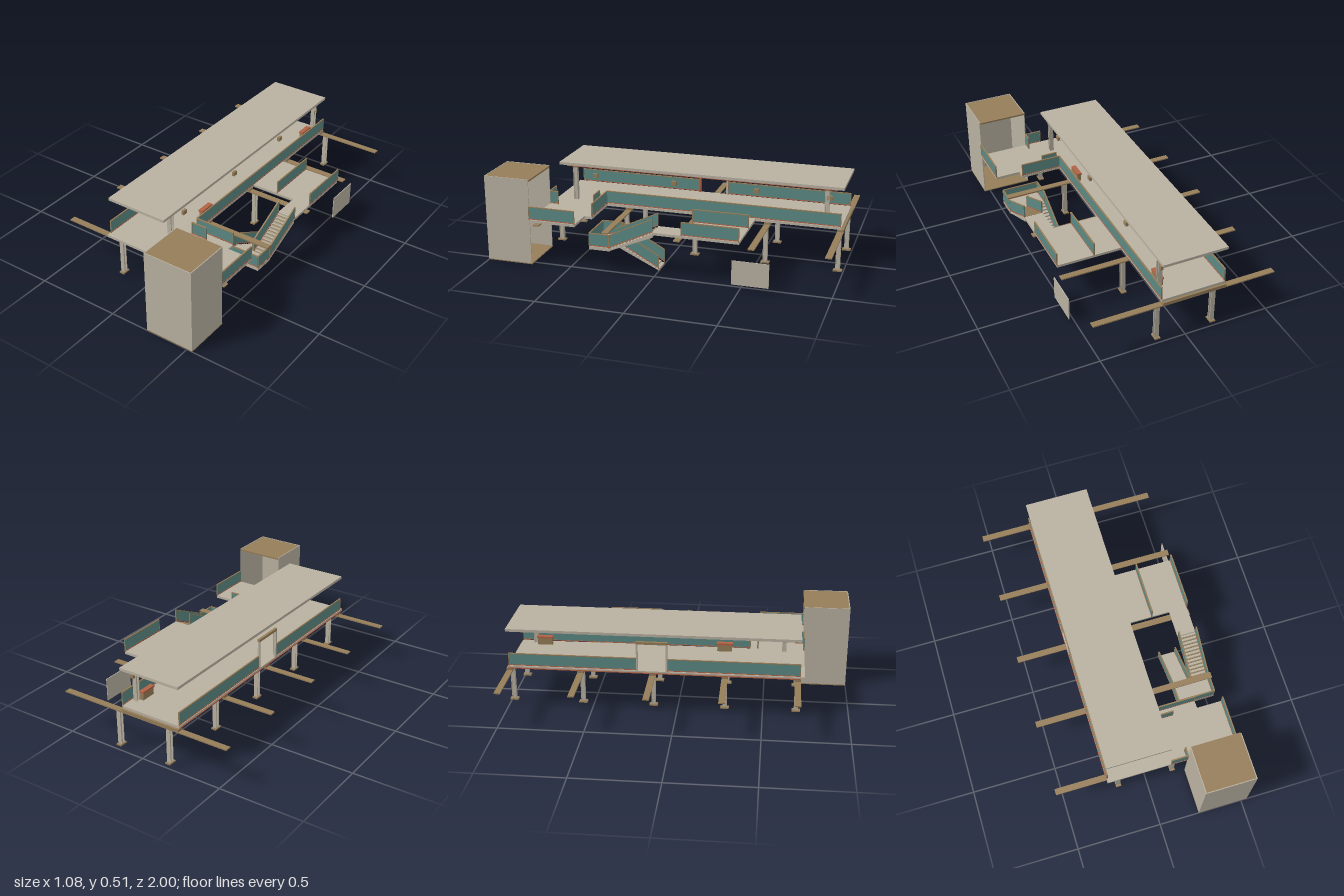
import * as THREE from 'three';

const paint = (name, color, side = THREE.FrontSide) => {
  const m = new THREE.MeshStandardMaterial({ color, side });
  m.name = name;
  return m;
};

export function createModel() {
  const root = new THREE.Group();
  root.name = 'elevatedStation';
  const concrete = paint('warm grey concrete', 0xb8b0a0);
  const tan = paint('tan timber', 0x957d58);
  const teal = paint('teal glass', 0x5b8883);
  const rust = paint('rust red', 0xb36244);

  const group = (name) => {
    const g = new THREE.Group();
    g.name = name;
    root.add(g);
    return g;
  };
  const add = (parent, name, geo, mat) => {
    const m = new THREE.Mesh(geo, mat);
    m.name = name;
    parent.add(m);
    return m;
  };
  // Box given by its limits on each axis
  const box = (parent, name, mat, x0, x1, y0, y1, z0, z1) => {
    const m = add(parent, name, new THREE.BoxGeometry(x1 - x0, y1 - y0, z1 - z0), mat);
    m.position.set((x0 + x1) / 2, (y0 + y1) / 2, (z0 + z1) / 2);
    return m;
  };

  // Railing between two floor points; the boxes shear to follow a slope
  const railing = (parent, a, b, h = 0.08) => {
    const dx = b[0] - a[0], dy = b[1] - a[1], dz = b[2] - a[2];
    const len = Math.hypot(dx, dz);
    const g = new THREE.Group();
    g.name = 'railing';
    const strip = (name, mat, y0, y1, t) => {
      const geo = new THREE.BoxGeometry(len, y1 - y0, t);
      const p = geo.attributes.position;
      for (let i = 0; i < p.count; i++) p.setY(i, p.getY(i) + (p.getX(i) / len) * dy);
      geo.computeVertexNormals();
      add(g, name, geo, mat).position.y = (y0 + y1) / 2;
    };
    strip('railCurb', rust, 0.004, 0.009, 0.008);
    strip('railGlass', teal, 0.009, h - 0.005, 0.005);
    strip('railCap', tan, h - 0.005, h, 0.008);
    for (const s of [-1, 1]) {
      box(g, 'railEndPost', tan, s * (len / 2 - 0.002) - 0.002, s * (len / 2 - 0.002) + 0.002,
        s * dy / 2, s * dy / 2 + h - 0.004, -0.004, 0.004);
    }
    g.position.set((a[0] + b[0]) / 2, (a[1] + b[1]) / 2, (a[2] + b[2]) / 2);
    g.rotation.y = Math.atan2(-dz, dx);
    parent.add(g);
  };

  // Upright H-section column
  const column = (parent, name, x, z, y0, y1) => {
    const w = 0.0125, t = 0.004, c = 0.002;
    const s = new THREE.Shape([[-w, -w], [w, -w], [w, t - w], [c, t - w], [c, w - t], [w, w - t],
      [w, w], [-w, w], [-w, w - t], [-c, w - t], [-c, t - w], [-w, t - w]]
      .map(([px, py]) => new THREE.Vector2(px, py)));
    const geo = new THREE.ExtrudeGeometry(s, { depth: y1 - y0, bevelEnabled: false });
    geo.rotateX(-Math.PI / 2);
    add(parent, name, geo, concrete).position.set(x, y0, z);
  };

  // Substructure: long cross beams on paired columns
  const frame = group('substructure');
  for (const z of [-0.974, -0.558, -0.14, 0.278, 0.694]) {
    box(frame, 'crossBeam', tan, -0.54, 0.535, 0.236, 0.243, z - 0.018, z + 0.018);
    box(frame, 'beamHaunch', tan, -0.24, 0.137, 0.243, 0.257, z - 0.018, z + 0.018);
    for (const x of [-0.168, 0.165]) {
      column(frame, 'column', x, z, 0.03, 0.236);
      box(frame, 'columnFoot', tan, x - 0.016, x + 0.016, 0.022, 0.03, z - 0.025, z + 0.025);
    }
  }

  // Platform decks
  const F = 0.272;
  const decks = group('decks');
  box(decks, 'mainDeck', concrete, -0.24, 0.139, 0.257, F, -0.98, 0.735);
  box(decks, 'deckEdge', rust, -0.243, -0.24, 0.257, 0.263, -0.98, 0.71);
  box(decks, 'rearSideDeck', concrete, 0.139, 0.525, 0.257, F, -0.49, -0.165);
  box(decks, 'stairBridge', concrete, 0.415, 0.525, 0.257, F, -0.165, 0);
  box(decks, 'frontSideDeck', concrete, 0.139, 0.535, 0.257, F, 0.457, 0.735);
  box(decks, 'frontSideDeckStrip', concrete, 0.139, 0.385, 0.257, F, 0.41, 0.457);

  // Deck railings
  const rails = group('deckRailings');
  const R = (x0, z0, x1, z1) => railing(rails, [x0, F, z0], [x1, F, z1]);
  R(-0.236, -0.977, -0.236, -0.232);
  R(-0.236, -0.05, -0.236, 0.71);
  R(0.139, -0.977, 0.139, 0.41);
  R(0.305, -0.49, 0.305, -0.165);
  R(0.525, -0.49, 0.525, -0.165);
  R(0.139, 0.41, 0.385, 0.41);
  R(0.139, 0.457, 0.237, 0.457);
  R(0.139, 0.733, 0.238, 0.733);
  R(0.237, 0.68, 0.237, 0.733);
  R(0.534, 0.457, 0.534, 0.735);

  // Doorway in the long railing
  const door = group('doorway');
  for (const z of [-0.226, -0.056]) {
    box(door, 'doorPost', concrete, -0.243, -0.23, F, 0.44, z - 0.005, z + 0.005);
  }
  box(door, 'doorJamb', rust, -0.23, -0.227, F, 0.44, -0.061, -0.051);
  box(door, 'doorHeader', tan, -0.244, -0.229, 0.44, 0.455, -0.232, -0.05);

  // Roof canopy
  const canopy = group('canopy');
  box(canopy, 'roofSlab', concrete, -0.24, 0.139, 0.487, 0.503, -0.985, 0.708);
  box(canopy, 'roofSoffit', rust, -0.212, 0.125, 0.478, 0.487, -0.945, 0.665);
  for (const z of [-0.89, 0.615]) {
    box(canopy, 'roofBeam', tan, -0.212, 0.125, 0.472, 0.478, z - 0.014, z + 0.014);
    column(canopy, 'roofPost', 0.112, z, F, 0.472);
  }
  for (const z of [-0.905, -0.485, 0.003, 0.49]) {
    box(canopy, 'signBox', tan, 0.104, 0.12, 0.416, 0.441, z - 0.015, z + 0.015);
  }

  // Benches
  for (const z of [-0.83, 0.26]) {
    const bench = group('bench');
    box(bench, 'benchBase', tan, 0.079, 0.103, F, 0.314, z - 0.044, z + 0.044);
    box(bench, 'benchTop', rust, 0.075, 0.103, 0.314, 0.325, z - 0.048, z + 0.048);
  }

  // Stairs: two flights joined by a landing
  const stairs = group('stairs');
  const L = 0.15, Z = 0.255;
  const flight = (name, x0, x1, zTop, yTop, zEnd, yEnd, nosing) => {
    const n = 13, dz = (zEnd - zTop) / n, dy = (yTop - yEnd) / n, pts = [];
    for (let i = 0; i < n; i++) {
      pts.push(new THREE.Vector2(zTop + dz * i, yTop - dy * (i + 1)),
        new THREE.Vector2(zTop + dz * (i + 1), yTop - dy * (i + 1)));
    }
    pts.push(new THREE.Vector2(zEnd, Math.max(0, yEnd - 0.016)), new THREE.Vector2(zTop, yTop - 0.03));
    const geo = new THREE.ExtrudeGeometry(new THREE.Shape(pts), { depth: x1 - x0, bevelEnabled: false });
    geo.rotateY(-Math.PI / 2);
    add(stairs, name, geo, concrete).position.x = x1;
    for (let i = 0; nosing && i < n; i++) {
      const z = zTop + dz * (i + 1), y = yTop - dy * (i + 1);
      box(stairs, 'stepNosing', tan, x0, x1, y, y + 0.002, z - 0.006, z);
    }
    for (const x of [x0, x1]) railing(stairs, [x, yEnd, zEnd], [x, yTop, zTop]);
  };
  flight('upperFlight', 0.418, 0.525, 0, F, Z, L, true);
  flight('lowerFlight', 0.305, 0.41, Z, L, 0, 0.012, false);
  box(stairs, 'landing', concrete, 0.303, 0.527, 0.132, L, 0.25, 0.376);
  railing(stairs, [0.305, L, 0.373], [0.525, L, 0.373]);
  for (const x of [0.305, 0.525]) railing(stairs, [x, L, Z], [x, L, 0.373]);

  // Lift tower, open towards the platform
  const tower = group('liftTower');
  box(tower, 'towerRightWall', concrete, 0.238, 0.243, 0.006, 0.51, 0.73, 1);
  box(tower, 'towerLeftWall', concrete, 0.53, 0.535, 0.006, 0.51, 0.73, 1);
  box(tower, 'towerFrontWall', concrete, 0.243, 0.53, 0.006, 0.51, 0.995, 1);
  box(tower, 'towerRoof', tan, 0.243, 0.53, 0.498, 0.508, 0.725, 0.995);
  box(tower, 'towerFloor', tan, 0.238, 0.535, 0, 0.006, 0.727, 1);

  // Free-standing panel beside the rear deck
  box(root, 'sidePanel', concrete, 0.528, 0.533, 0.025, 0.165, -0.66, -0.452);

  return root;
}
